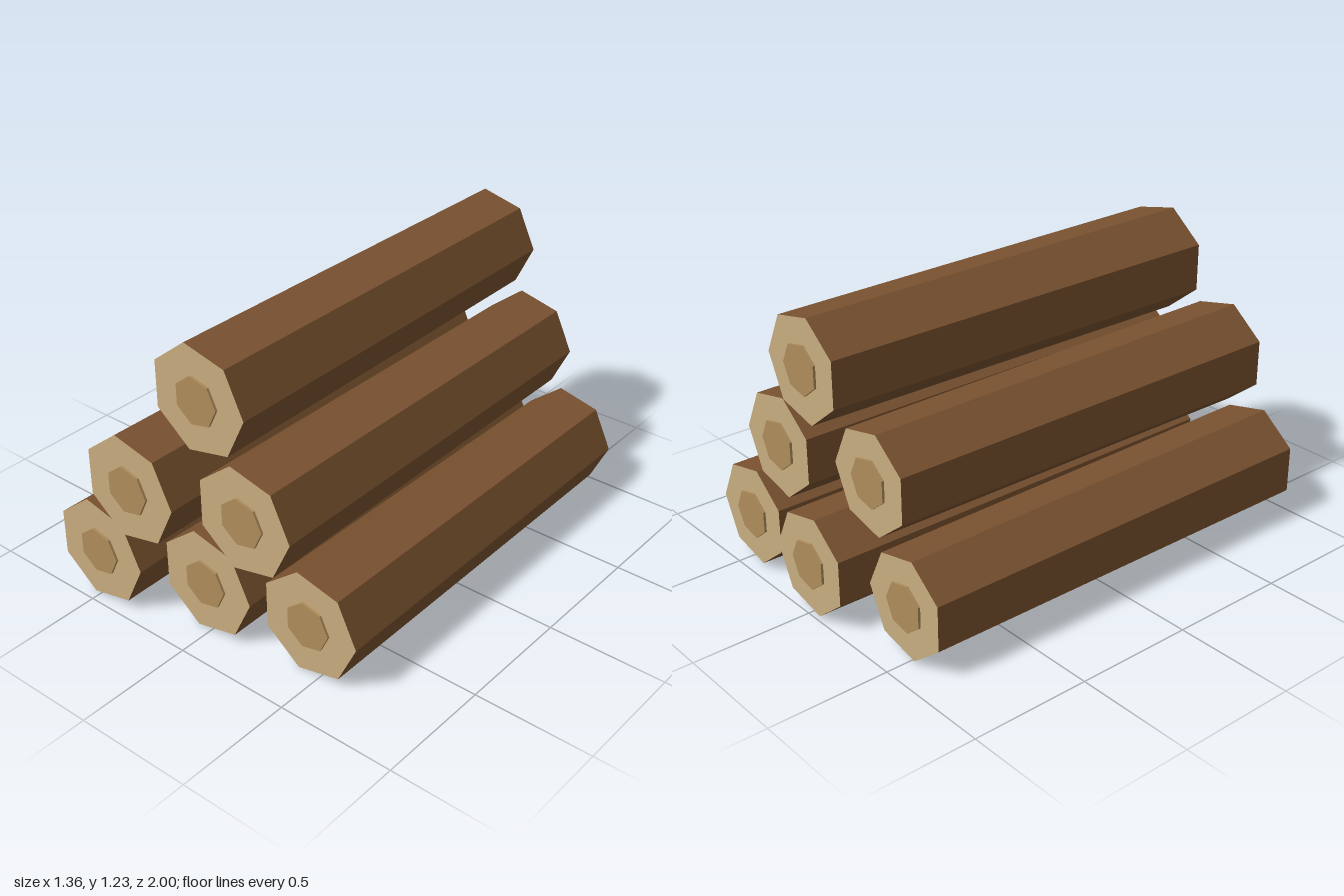
import * as THREE from 'three';

const SIDES = 7;
const FRONT_RADIUS = 0.225, BACK_RADIUS = 0.213;
const CORE_RADIUS = 0.101, CORE_DEPTH = 0.01;

// Heptagonal prism along z, one corner pointing to +x
function prism(frontRadius, backRadius, length) {
  return new THREE.CylinderGeometry(frontRadius, backRadius, length, SIDES, 1, false, Math.PI / 2)
    .rotateX(Math.PI / 2);
}

export function createModel() {
  const material = (name, color) =>
    new THREE.MeshStandardMaterial({ name, color, flatShading: true });
  const bark = material('bark', 0x7a5230);
  const cutWood = material('cutWood', 0xc8ad7f);
  const heartwood = material('heartwood', 0xb08d5b);

  // x, y, back z, front z of each log body
  const logs = [
    ['bottomRightLog', -0.478, 0.222, -0.895, 0.955],
    ['bottomMiddleLog', -0.013, 0.222, -0.99, 0.845],
    ['bottomLeftLog', 0.452, 0.222, -0.945, 0.792],
    ['middleRightLog', -0.245, 0.62, -0.865, 0.988],
    ['middleLeftLog', 0.22, 0.62, -0.946, 0.874],
    ['topLog', -0.013, 1.018, -0.974, 0.838],
  ];

  const model = new THREE.Group();
  model.name = 'logPile';
  const coreGeometry = prism(CORE_RADIUS, CORE_RADIUS, CORE_DEPTH);

  for (const [name, x, y, back, front] of logs) {
    const log = new THREE.Group();
    log.name = name;
    log.position.set(x, y, 0);

    // Tapered trunk: bark around the sides, cut wood on both ends
    const trunk = new THREE.Mesh(
      prism(FRONT_RADIUS, BACK_RADIUS, front - back), [bark, cutWood, cutWood]);
    trunk.name = 'trunk';
    trunk.position.z = (front + back) / 2;
    log.add(trunk);

    // Raised heartwood disc on each end
    for (const [coreName, z] of [
      ['frontHeartwood', front + CORE_DEPTH / 2],
      ['backHeartwood', back - CORE_DEPTH / 2],
    ]) {
      const core = new THREE.Mesh(coreGeometry, heartwood);
      core.name = coreName;
      core.position.z = z;
      log.add(core);
    }
    model.add(log);
  }
  return model;
}
